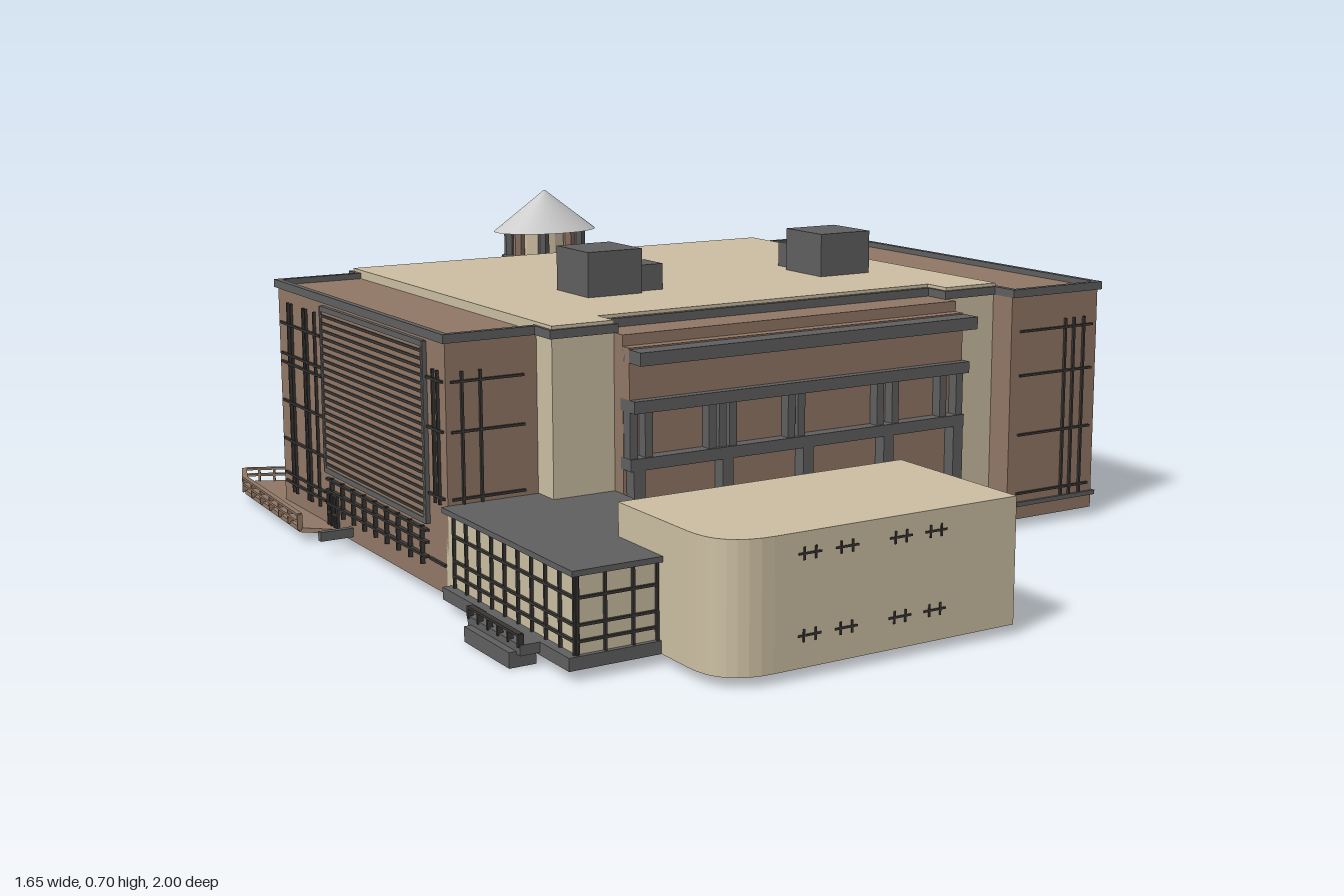
import * as THREE from 'three';
import { mergeGeometries } from 'three/addons/utils/BufferGeometryUtils.js';

const mat = (color) => new THREE.MeshStandardMaterial({ color, flatShading: true });
const TAN = mat(0xcdbfa3), BROWN = mat(0x927866), GREY = mat(0x606060), DARK = mat(0x3a3835);
const SILVER = new THREE.MeshStandardMaterial({ color: 0xcccccc });

export function createModel() {
  const root = new THREE.Group();
  const add = (name, material, geometry) => {
    const mesh = new THREE.Mesh(geometry, material);
    mesh.name = name;
    root.add(mesh);
    return mesh;
  };
  const boxGeo = (x0, x1, y0, y1, z0, z1) =>
    new THREE.BoxGeometry(x1 - x0, y1 - y0, z1 - z0).translate((x0 + x1) / 2, (y0 + y1) / 2, (z0 + z1) / 2);
  const box = (name, material, ...size) => add(name, material, boxGeo(...size));

  // Plan outline in (x, z), raised from y0 to y1
  const prism = (name, material, shape, y0, y1) => add(name, material,
    new THREE.ExtrudeGeometry(shape, { depth: y1 - y0, bevelEnabled: false, curveSegments: 8 })
      .rotateX(-Math.PI / 2).translate(0, y0, 0));
  const plan = (pts) => new THREE.Shape(pts.map(([x, z]) => new THREE.Vector2(x, -z)));

  // Thin bars on the wall from a to b (plan points): verticals at us (0..1), horizontals at ys
  const bars = (name, a, b, y0, y1, us, ys, t = 0.005, material = DARK) => {
    const dx = b[0] - a[0], dz = b[1] - a[1], len = Math.hypot(dx, dz);
    const parts = us.map((u) => boxGeo(u * len - t / 2, u * len + t / 2, y0, y1, -0.006, 0.006));
    ys.forEach((y) => parts.push(boxGeo(0, len, y - t / 2, y + t / 2, -0.006, 0.006)));
    const g = mergeGeometries(parts);
    g.rotateY(-Math.atan2(dz, dx)).translate(a[0], 0, a[1]);
    return add(name, material, g);
  };
  const steps = (n, from = 0, to = 1) => Array.from({ length: n }, (_, i) => from + (to - from) * i / (n - 1));

  // Main block and side wings
  const mainPlan = [[-0.55, -0.65], [0.57, -0.65], [0.57, 0.335], [0.43, 0.335], [0.43, 0.27],
    [-0.41, 0.27], [-0.41, 0.335], [-0.55, 0.335]];
  prism('mainBlock', TAN, plan(mainPlan), 0.02, 0.553);
  box('leftWing', BROWN, 0.565, 0.815, 0.02, 0.533, -0.615, 0.4);
  box('rightWing', BROWN, -0.75, -0.545, 0.02, 0.533, -0.615, 0.27);

  // Parapet running around the roof edge
  const edge = [[-0.55, -0.615], [-0.75, -0.615], [-0.75, 0.27], [-0.55, 0.27], [-0.55, 0.335], [-0.41, 0.335],
    [-0.41, 0.275], [0.43, 0.275], [0.43, 0.335], [0.57, 0.335], [0.57, 0.4], [0.815, 0.4], [0.815, -0.615],
    [0.57, -0.615], [0.57, -0.655], [-0.55, -0.655]];
  add('parapet', GREY, mergeGeometries(edge.map(([x, z], i) => {
    const [u, w] = edge[(i + 1) % edge.length], h = 0.007;
    return boxGeo(Math.min(x, u) - h, Math.max(x, u) + h, 0.528, 0.546, Math.min(z, w) - h, Math.max(z, w) + h);
  })));

  // Rooftop plant boxes
  [[-0.31, -0.177, 0.65, -0.09, 0.05], [-0.18, -0.11, 0.61, -0.055, 0.025], [-0.26, -0.185, 0.61, -0.155, -0.085],
    [0.295, 0.43, 0.65, -0.09, 0.05], [0.32, 0.4, 0.61, -0.16, -0.085]]
    .forEach(([x0, x1, y, z0, z1]) => box('roofUnit', GREY, x0, x1, 0.545, y, z0, z1));

  // Front entrance bay: wall, beams and columns
  box('entranceWall', BROWN, -0.41, 0.43, 0.02, 0.528, 0.26, 0.37);
  box('entranceFascia', BROWN, -0.41, 0.43, 0.4, 0.505, 0.36, 0.395);
  box('upperBeam', GREY, -0.41, 0.435, 0.475, 0.502, 0.37, 0.44);
  box('middleBeam', GREY, -0.41, 0.435, 0.375, 0.4, 0.36, 0.415);
  box('lowerBeam', GREY, -0.41, 0.435, 0.255, 0.28, 0.36, 0.4);
  [-0.4, -0.365, -0.215, -0.19, -0.165, -0.02, 0.005, 0.21, 0.25, 0.38, 0.425].forEach((x) =>
    box('upperColumn', GREY, x - 0.009, x + 0.009, 0.27, 0.385, 0.36, 0.395));
  [-0.39, -0.18, 0.02, 0.23, 0.42].forEach((x) =>
    box('entranceColumn', GREY, x - 0.013, x + 0.013, 0.02, 0.265, 0.365, 0.4));

  // Louvred panels on both side walls
  const louvre = (x) => {
    box('louvreBacking', BROWN, x - 0.004, x + 0.004, 0.15, 0.52, -0.345, 0.18);
    bars('louvreSlats', [x, 0.18], [x, -0.345], 0.15, 0.52, steps(2), steps(21, 0.17, 0.5), 0.006);
    bars('louvreFrame', [x, 0.18], [x, -0.345], 0.15, 0.52, [0, 1], [0.155, 0.515], 0.012, GREY);
    bars('lowerWindowBars', [x, 0.18], [x, -0.345], 0.06, 0.14, steps(9, 0.05, 0.95), [0.08, 0.11, 0.135]);
  };
  louvre(0.818);
  louvre(-0.753);

  // Corner windows of the wings
  const rows = [0.08, 0.215, 0.35, 0.45];
  const tall = [0.08, 0.1, 0.18, 0.27, 0.36, 0.38, 0.45];
  bars('cornerWindow', [0.815, 0.39], [0.815, 0.27], 0.06, 0.47, [0.25, 0.42], rows);
  bars('cornerWindow', [0.59, 0.4], [0.8, 0.4], 0.06, 0.47, [0.62, 0.74, 0.88], rows);
  bars('cornerWindow', [-0.74, 0.27], [-0.58, 0.27], 0.18, 0.47, [0.15, 0.4], rows);
  bars('cornerWindow', [-0.75, 0.26], [-0.75, 0.19], 0.2, 0.47, [0.3, 0.6], rows);
  [0.815, -0.75].forEach((x) => {
    bars('rearSideWindow', [x, -0.36], [x, -0.6], 0.06, 0.5, [0.15, 0.35, 0.42, 0.72, 0.8], tall);
    bars('sideDoor', [x, -0.295], [x, -0.345], 0.02, 0.11, steps(4), [0.06, 0.105], 0.007);
  });
  bars('rearWindow', [0.6, -0.615], [0.8, -0.615], 0.2, 0.5, [0.25, 0.5, 0.7, 0.9], tall.slice(3));
  bars('rearWindow', [-0.73, -0.615], [-0.58, -0.615], 0.06, 0.5, [0.15, 0.4, 0.8], tall);
  box('baseBand', GREY, 0.59, 0.822, 0.05, 0.06, -0.29, 0.406);

  // Rear facade: glazing grids between paired pilasters
  [-1, 1].forEach((s) => {
    bars('rearGlazing', [0.01 + s * 0.1, -0.652], [0.01 + s * 0.33, -0.652], 0.19, 0.5, steps(6), steps(8, 0.22, 0.5), 0.007);
    bars('rearGlazing', [0.01 + s * 0.43, -0.652], [0.01 + s * 0.53, -0.652], 0.19, 0.5, steps(3), steps(8, 0.22, 0.5), 0.007);
    [0.1, 0.35, 0.4, 0.545].forEach((x) =>
      box('rearPilaster', GREY, 0.01 + s * x - 0.014, 0.01 + s * x + 0.014, 0.1, 0.53, -0.685, -0.64));
  });

  // Low rear wing with a V-shaped back edge
  prism('rearWing', TAN, plan([[-0.575, -0.6], [-0.575, -0.94], [-0.16, -0.79], [0.01, -0.765], [0.18, -0.79],
    [0.605, -0.94], [0.605, -0.6]]), 0.02, 0.187);
  bars('rearWingGlazing', [-0.55, -0.931], [-0.16, -0.79], 0.04, 0.16, steps(12), [0.05, 0.09, 0.13, 0.16]);
  bars('rearWingGlazing', [0.57, -0.928], [0.18, -0.79], 0.04, 0.16, steps(12), [0.05, 0.09, 0.13, 0.16]);
  [0.605, -0.575].forEach((x) =>
    bars('rearWingWindow', [x, -0.64], [x, -0.91], 0.04, 0.12, [0.1, 0.25, 0.5, 0.58, 0.75, 0.9], [0.06, 0.085]));

  // Oval ring canopy at the back
  const ring = add('ringCanopy', new THREE.MeshStandardMaterial({ color: 0x606060 }),
    new THREE.TorusGeometry(0.35, 0.16, 12, 48).rotateX(Math.PI / 2));
  ring.scale.set(1, 0.14, 0.333);
  ring.position.set(0.015, 0.14, -0.83);
  box('canopyTie', GREY, -0.02, 0.045, 0.13, 0.15, -0.9, -0.76);

  // Stair tower with conical roof
  const tower = new THREE.Group();
  tower.name = 'tower';
  tower.position.set(0.005, 0, -0.742);
  tower.scale.z = 0.7;
  root.add(tower);
  const ringPart = (name, m, r0, r1, y0, y1, n) => {
    const p = new THREE.Mesh(new THREE.CylinderGeometry(r1, r0, y1 - y0, n), m);
    p.name = name;
    p.position.y = (y0 + y1) / 2;
    tower.add(p);
    return p;
  };
  ringPart('towerCore', TAN, 0.075, 0.075, 0.02, 0.6, 12);
  ringPart('towerRoof', SILVER, 0.135, 0.001, 0.6, 0.7, 32);
  [0.25, 0.32, 0.39, 0.46].forEach((y) => ringPart('towerBand', DARK, 0.08, 0.08, y, y + 0.006, 12));
  ringPart('towerCollar', GREY, 0.115, 0.115, 0.522, 0.54, 16);
  for (let i = 0; i < 8; i++) {
    const a = (i + 0.5) * Math.PI / 4;
    const post = ringPart('towerPost', i % 2 ? BROWN : GREY, 0.015, 0.015, 0.18, 0.6, 6);
    post.position.x = 0.093 * Math.cos(a);
    post.position.z = 0.093 * Math.sin(a);
  }

  // Front annex with one rounded corner
  const annex = new THREE.Shape();
  annex.moveTo(-0.58, -0.645).lineTo(-0.58, -0.89);
  annex.quadraticCurveTo(-0.58, -1, -0.47, -1);
  annex.lineTo(0.075, -1).lineTo(0.075, -0.645);
  prism('annex', TAN, annex, 0.02, 0.27);
  [0.08, 0.23].forEach((y) => [-0.42, -0.34, -0.22, -0.14].forEach((x) =>
    bars('annexWindow', [x, 0.996], [x + 0.05, 0.996], y - 0.012, y + 0.012, [0.25, 0.75], [y], 0.004)));
  [0.11, 0.19].forEach((y) => [0.72, 0.78, 0.85, 0.91].forEach((z) =>
    bars('annexSideWindow', [0.073, z], [0.073, z + 0.04], y - 0.014, y + 0.014, [0.2, 0.8], [y - 0.006, y + 0.006], 0.004)));

  // Glazed link under a flat roof, with a plinth and step
  box('link', TAN, -0.75, -0.413, 0.02, 0.195, 0.26, 0.79);
  box('linkRoof', GREY, -0.765, -0.41, 0.193, 0.204, 0.272, 0.805);
  box('linkPlinth', GREY, -0.77, -0.57, 0.02, 0.045, 0.28, 0.8);
  bars('linkGlazing', [-0.75, 0.79], [-0.585, 0.79], 0.04, 0.195, [0, 0.35, 0.7, 1], [0.07, 0.1, 0.15]);
  bars('linkGlazing', [-0.75, 0.3], [-0.75, 0.79], 0.04, 0.195, steps(10), [0.07, 0.1, 0.15]);
  box('landing', GREY, -0.81, -0.76, 0.025, 0.045, 0.475, 0.69);
  box('step', GREY, -0.825, -0.77, 0, 0.03, 0.49, 0.675);
  bars('landingRail', [-0.807, 0.48], [-0.807, 0.685], 0.04, 0.065, steps(6), [0.063]);

  // Side patio with low railing, and a small door canopy
  const patio = [[-0.58, -0.745], [-0.77, -0.835], [-0.8, -0.75], [-0.82, -0.35]];
  prism('patio', BROWN, plan([...patio, [-0.74, -0.28], [-0.74, -0.6], [-0.58, -0.6]]), 0.02, 0.03);
  for (let i = 0; i < 3; i++)
    bars('patioRail', patio[i], patio[i + 1], 0.025, 0.06, steps(7), [0.045, 0.06], 0.005, BROWN);
  box('doorCanopy', GREY, -0.825, -0.75, 0.03, 0.05, -0.23, -0.215);

  return root;
}
